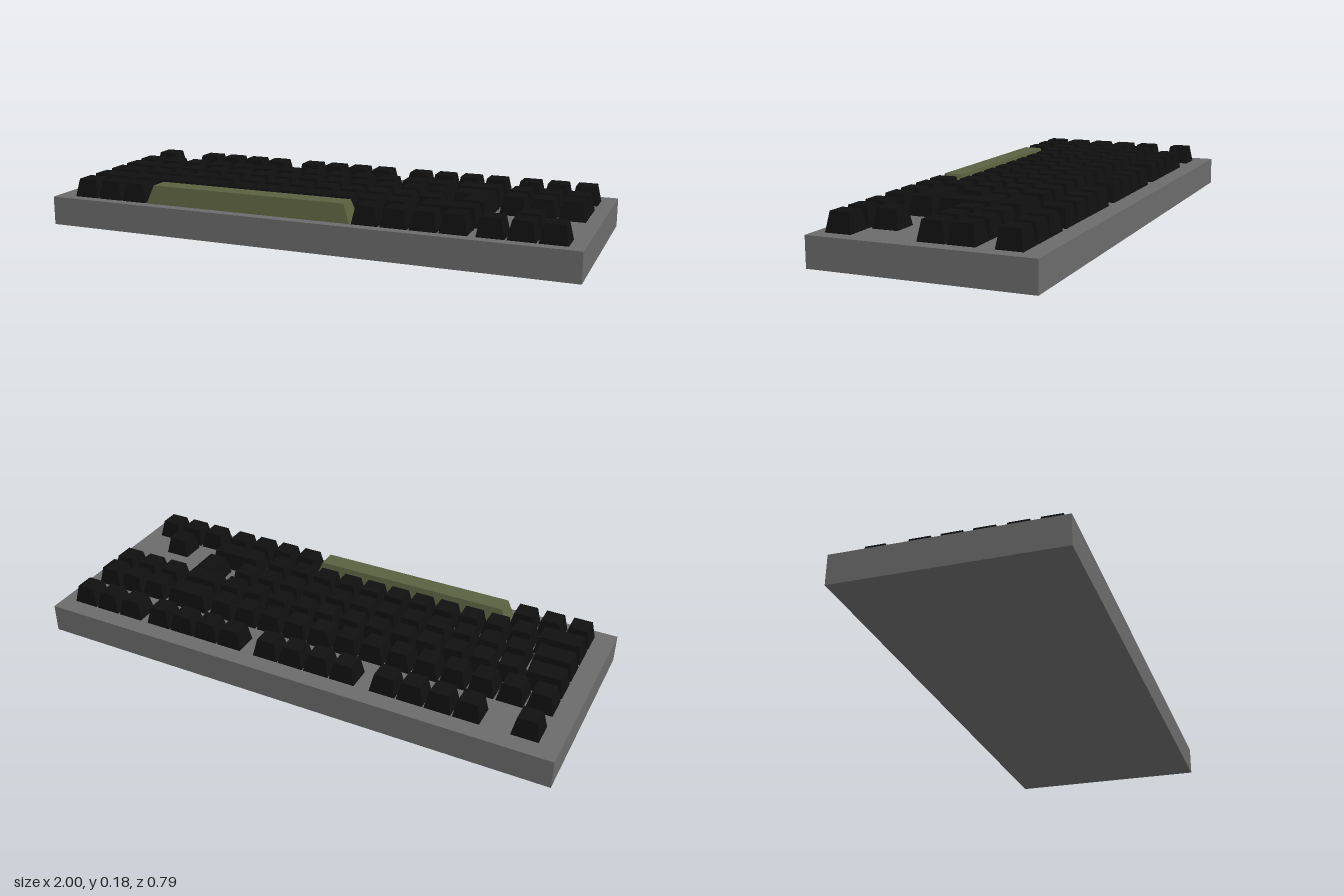
import * as THREE from 'three';

const DECK = 0.108, TOP = 0.176, PITCH = 0.1028, KEY = 0.097;

const material = (color) => new THREE.MeshStandardMaterial({ color, flatShading: true });

// Tapered cap: a box whose upper corners are pulled inwards
function capGeometry(width, depth, insetX, insetZ) {
  const height = TOP - DECK;
  const geometry = new THREE.BoxGeometry(width, height, depth);
  const p = geometry.attributes.position;
  for (let i = 0; i < p.count; i++) {
    if (p.getY(i) < 0) continue;
    p.setX(i, p.getX(i) - Math.sign(p.getX(i)) * insetX);
    p.setZ(i, p.getZ(i) - Math.sign(p.getZ(i)) * insetZ);
  }
  geometry.computeVertexNormals();
  return geometry.translate(0, DECK + height / 2, 0);
}

export function createModel() {
  const model = new THREE.Group();
  model.name = 'keyboard';
  const black = material(0x101010);
  const grey = material(0x6b6b6b);
  const olive = material(0x5a6040);

  // Case
  const body = new THREE.Mesh(new THREE.BoxGeometry(2, DECK, 0.785), grey);
  body.name = 'case';
  body.position.y = DECK / 2;
  model.add(body);

  function addKey(parent, name, left, right, z, depth = 0.095, mat = black, insetX = 0.014) {
    const cap = new THREE.Mesh(capGeometry(right - left, depth, insetX, 0.011), mat);
    cap.name = name;
    cap.position.set((left + right) / 2, 0, z);
    parent.add(cap);
  }

  function addRun(parent, start, count, z, depth, pitch = PITCH) {
    for (let i = 0; i < count; i++) {
      const left = start + i * pitch;
      addKey(parent, 'key', left, left + KEY, z, depth);
    }
  }

  function addRow(name) {
    const row = new THREE.Group();
    row.name = name;
    model.add(row);
    return row;
  }

  // Top row: single escape key, then three blocks of four
  const topRow = addRow('topRow');
  addRun(topRow, -0.925, 1, -0.278, 0.092);
  for (const start of [-0.72, -0.257, 0.205]) addRun(topRow, start, 4, -0.278, 0.092);

  // Number keys and backspace
  const numberRow = addRow('numberRow');
  addRun(numberRow, -0.925, 13, -0.126, 0.095, 0.1048);
  addKey(numberRow, 'backspaceKey', 0.449, 0.622, -0.126);

  // Upper letters, with the two-part enter key at the end
  const upperRow = addRow('upperLetterRow');
  addKey(upperRow, 'tabKey', -0.925, -0.776, -0.018);
  addRun(upperRow, -0.77, 12, -0.018, 0.095);
  addKey(upperRow, 'enterKeyUpper', 0.465, 0.622, -0.018);
  addKey(upperRow, 'enterKeyLower', 0.522, 0.622, 0.076, 0.126);

  // Home letters
  const homeRow = addRow('homeLetterRow');
  addKey(homeRow, 'capsKey', -0.925, -0.768, 0.09);
  addRun(homeRow, -0.76, 12, 0.09, 0.095, 0.1022);

  // Lower letters and shift keys
  const lowerRow = addRow('lowerLetterRow');
  addKey(lowerRow, 'leftShiftKey', -0.925, -0.749, 0.2);
  addRun(lowerRow, -0.743, 11, 0.2, 0.095, 0.1016);
  addKey(lowerRow, 'rightShiftKey', 0.403, 0.619, 0.2);

  // Bottom row and space bar
  const bottomRow = addRow('bottomRow');
  addRun(bottomRow, -0.925, 3, 0.307, 0.093, 0.1045);
  addKey(bottomRow, 'spaceBar', -0.611, 0.197, 0.307, 0.093, olive, 0.026);
  addRun(bottomRow, 0.203, 4, 0.307, 0.093, 0.1045);

  // Navigation block and arrow keys
  const navigation = addRow('navigationKeys');
  addRun(navigation, 0.642, 3, -0.278, 0.092, 0.1042);
  addRun(navigation, 0.642, 3, -0.1215, 0.095, 0.1042);
  addRun(navigation, 0.642, 3, -0.019, 0.095, 0.1042);
  const arrows = addRow('arrowKeys');
  addRun(arrows, 0.7462, 1, 0.201, 0.093);
  addRun(arrows, 0.642, 3, 0.307, 0.093, 0.1042);

  return model;
}
